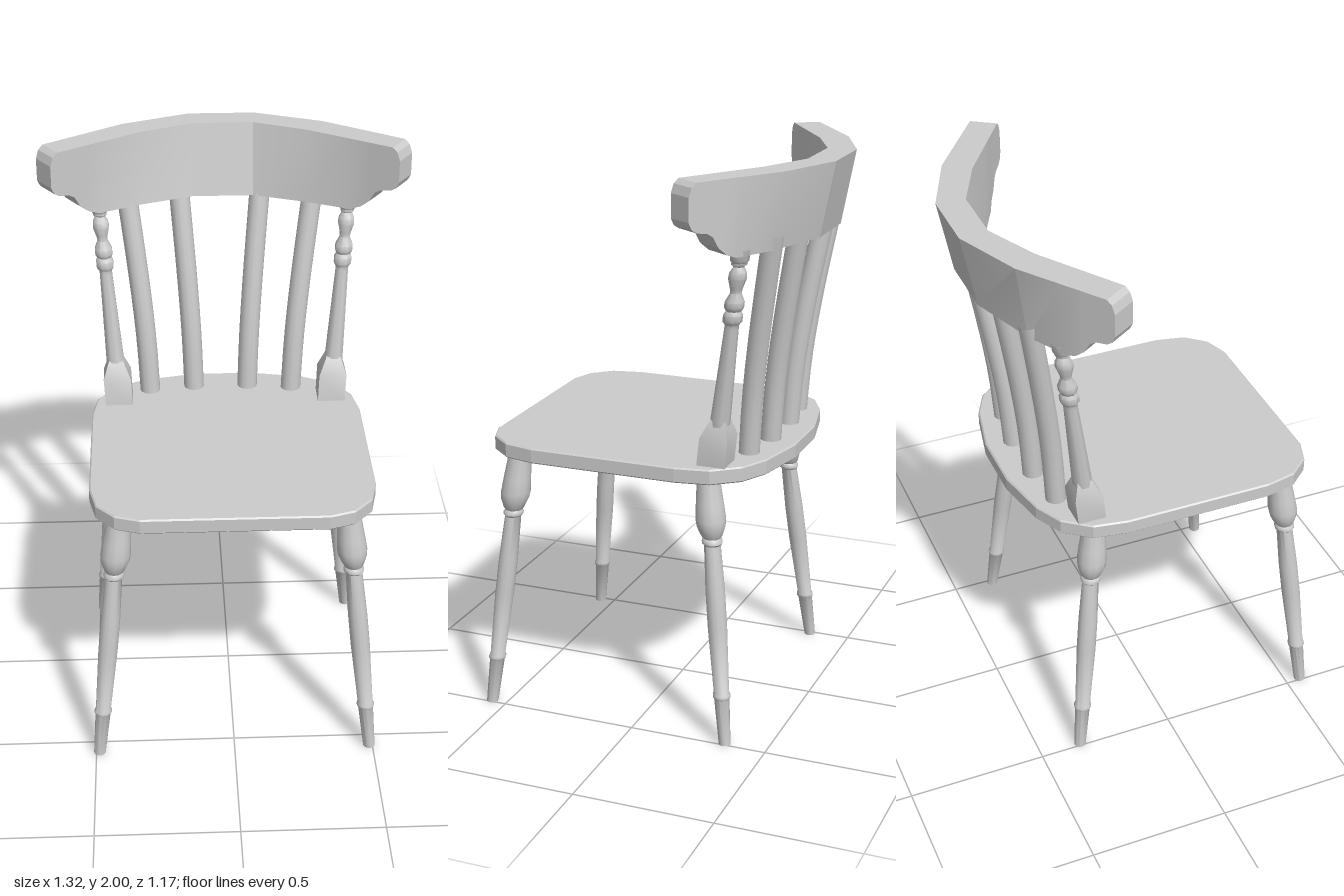
import * as THREE from 'three';
import { toCreasedNormals } from 'three/addons/utils/BufferGeometryUtils.js';

const material = new THREE.MeshStandardMaterial({ color: 0xcccccc });

function addMesh(parent, name, geometry) {
  const mesh = new THREE.Mesh(geometry, material);
  mesh.name = name;
  parent.add(mesh);
  return mesh;
}

// Turned part: profile of [radius, height], slanted by dx and dz per unit of height
function turned(profile, sides, dx, dz, phi = 0) {
  const points = profile.map(([r, y]) => new THREE.Vector2(r, y));
  const slant = new THREE.Matrix4().set(1, dx, 0, 0, 0, 1, 0, 0, 0, dz, 1, 0, 0, 0, 0, 1);
  const geometry = new THREE.LatheGeometry(points, sides, phi).applyMatrix4(slant);
  return toCreasedNormals(geometry, 0.8);
}

// Rounded seat board with a fine bevel
function seatGeometry() {
  const half = [
    [0.32, 0.577], [0.405, 0.548], [0.467, 0.477], [0.49, 0.37],
    [0.49, -0.16], [0.47, -0.28], [0.4, -0.37], [0.3, -0.42], [0.11, -0.46],
  ];
  const outline = [...half, ...half.map(([x, z]) => [-x, z]).reverse()];
  const shape = new THREE.Shape(outline.map(([x, z]) => new THREE.Vector2(x, -z)));
  const geometry = new THREE.ExtrudeGeometry(shape, {
    depth: 0.045, bevelEnabled: true, bevelThickness: 0.005, bevelSize: 0.005, bevelSegments: 1,
  });
  return geometry.rotateX(-Math.PI / 2).translate(0, 0.95, 0);
}

// Curved top rail from four-cornered sections: front x, z, back x, z, bottom, top, lean
function railGeometry() {
  const front = [[0.11, -0.487], [0.3, -0.4], [0.605, -0.197]];
  const back = [[0.12, -0.588], [0.36, -0.488], [0.658, -0.278]];
  const along = (path, s) => {
    const i = Math.min(Math.floor(s), 1), t = s - i;
    return path[i].map((v, k) => v + (path[i + 1][k] - v) * t);
  };
  // [position along the half rail, bottom, top, lean of the lower edge]
  const steps = [
    [0, 1.74, 2, 0.05], [1, 1.74, 2, 0.035], [1.47, 1.74, 2, 0.01], [1.6, 1.755, 2, 0],
    [1.69, 1.782, 2, 0], [1.75, 1.82, 2, 0], [1.81, 1.833, 2, 0], [1.92, 1.84, 2, 0],
    [1.97, 1.852, 1.985, 0], [2, 1.875, 1.955, 0],
  ];
  const section = (side) => ([s, low, high, lean]) => {
    const [fx, fz] = along(front, s), [bx, bz] = along(back, s);
    return [
      [side * fx, high, fz], [side * bx, high, bz],
      [side * bx, low, bz + lean], [side * fx, low, fz + lean],
    ];
  };
  const sections = [...steps.map(section(-1)).reverse(), ...steps.map(section(1))];
  const positions = [];
  const quad = (a, b, c, d) => positions.push(...a, ...b, ...c, ...a, ...c, ...d);
  for (let i = 0; i < sections.length - 1; i++) {
    const p = sections[i], q = sections[i + 1];
    for (let j = 0; j < 4; j++) {
      const k = (j + 1) % 4;
      quad(p[j], q[j], q[k], p[k]);
    }
  }
  const first = sections[0], last = sections[sections.length - 1];
  quad(first[0], first[1], first[2], first[3]);
  quad(last[1], last[0], last[3], last[2]);
  const geometry = new THREE.BufferGeometry();
  geometry.setAttribute('position', new THREE.Float32BufferAttribute(positions, 3));
  return toCreasedNormals(geometry, 0.25);
}

export function createModel() {
  const chair = new THREE.Group();
  chair.name = 'chair';

  addMesh(chair, 'seat', seatGeometry());
  addMesh(chair, 'topRail', railGeometry());

  // Splayed turned legs
  const legProfile = [
    [0, 0], [0.021, 0], [0.027, 0.165], [0.031, 0.17], [0.031, 0.18], [0.027, 0.187],
    [0.034, 0.42], [0.034, 0.55], [0.029, 0.71], [0.036, 0.717], [0.036, 0.727],
    [0.031, 0.735], [0.038, 0.745], [0.05, 0.775], [0.053, 0.8], [0.049, 0.85],
    [0.041, 0.93], [0.041, 0.96],
  ];
  for (const side of [-1, 1]) {
    const name = side > 0 ? 'left' : 'right';
    addMesh(chair, name + 'FrontLeg', turned(legProfile, 12, -0.1 * side, -0.1))
      .position.set(0.488 * side, 0, 0.557);
    addMesh(chair, name + 'RearLeg', turned(legProfile, 12, -0.1 * side, 0.107))
      .position.set(0.488 * side, 0, -0.348);
  }

  // Back posts: square foot, tapered shaft, turned beads
  const footProfile = [[0.071, 0], [0.071, 0.1], [0.038, 0.16], [0, 0.16]];
  const shaftProfile = [
    [0.034, 0.12], [0.034, 0.17], [0.024, 0.485], [0.024, 0.5], [0.033, 0.512],
    [0.033, 0.535], [0.026, 0.548], [0.033, 0.56], [0.033, 0.58], [0.019, 0.61],
    [0.021, 0.625], [0.031, 0.66], [0.029, 0.68], [0.018, 0.7], [0.026, 0.706],
    [0.026, 0.714], [0.031, 0.72], [0.034, 0.76],
  ];
  for (const side of [-1, 1]) {
    const post = new THREE.Group();
    post.name = side > 0 ? 'leftBackPost' : 'rightBackPost';
    post.position.set(0.395 * side, 0.999, -0.273);
    addMesh(post, 'postFoot', turned(footProfile, 4, 0.05 * side, -0.12, Math.PI / 4));
    addMesh(post, 'postShaft', turned(shaftProfile, 8, 0.073 * side, -0.137, Math.PI / 8));
    chair.add(post);
  }

  // Bent spindles: bottom x, z and top x, z
  const spindles = [
    [-0.278, -0.342, -0.347, -0.437], [-0.113, -0.365, -0.158, -0.466],
    [0.087, -0.365, 0.134, -0.466], [0.25, -0.342, 0.323, -0.437],
  ];
  const bend = [[0.98, 0], [1.2, 0.16], [1.42, 0.45], [1.74, 1], [1.79, 1.09]];
  spindles.forEach(([x0, z0, x1, z1], i) => {
    const path = new THREE.CatmullRomCurve3(bend.map(([y, t]) =>
      new THREE.Vector3(x0 + (x1 - x0) * t, y, z0 + (z1 - z0) * t)));
    addMesh(chair, 'spindle' + (i + 1), new THREE.TubeGeometry(path, 10, 0.037, 12));
  });

  return chair;
}
